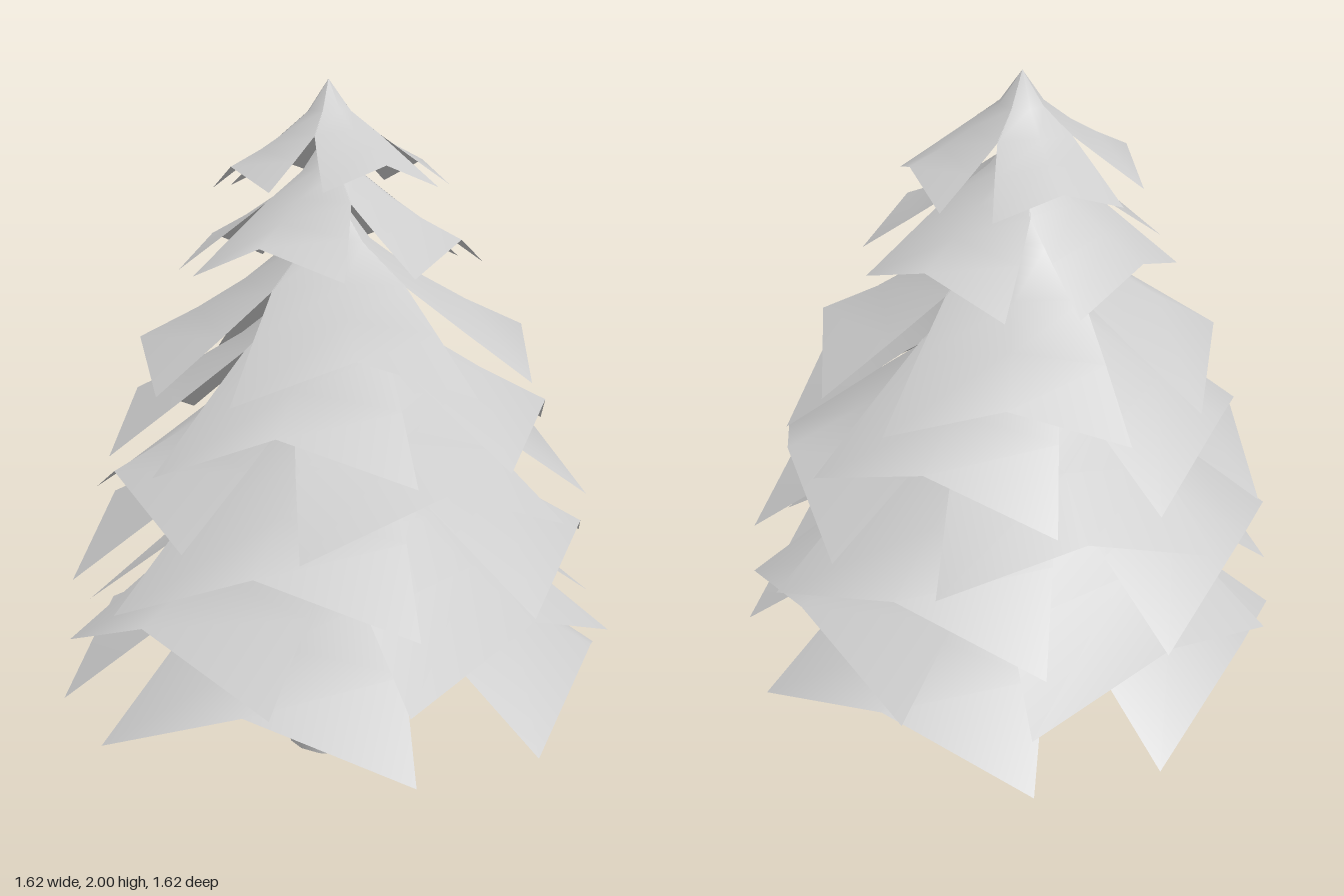
import * as THREE from 'three';

const material = new THREE.MeshStandardMaterial({ color: 0xcccccc, side: THREE.DoubleSide });

// Branch tiers, bottom to top: turn in degrees, height and reach of the middle of the lower edge
const TIERS = [
  [1, 0.38, 0.775], [-25, 0.555, 0.75], [3, 0.745, 0.735], [45, 0.935, 0.685],
  [6, 1.09, 0.625], [26, 1.28, 0.565], [-8, 1.555, 0.41], [-41, 1.765, 0.315],
];
// Rows of a bough from its tip outwards: share of reach, share of drop,
// then half width, depth and sag of the side edges
const ROWS = [
  [0, 0, 0, 0, 0], [0.2, 0.37, 0.73, 0.72, 0.01], [0.45, 0.62, 0.74, 0.73, 0.03],
  [0.7, 0.81, 0.64, 0.85, 0.1], [1, 1, 0.58, 0.92, 0.21],
];

// Fan-shaped sheet: a closed cone with its neighbours near the tip, with hanging outer corners
function boughGeometry(reach) {
  const geometry = new THREE.PlaneGeometry(1, 1, 2, ROWS.length - 1);
  const pos = geometry.attributes.position;
  for (let i = 0; i < pos.count; i++) {
    const side = (i % 3) - 1;
    const [out, fall, width, depth, sag] = ROWS[Math.floor(i / 3)];
    const drop = 0.75 * (1 - fall) - (side ? sag : 0);
    pos.setXYZ(i, side * width * reach * out, reach * drop, reach * out * (side ? depth : 1));
  }
  geometry.computeVertexNormals();
  return geometry;
}

// Short twig, thick for half its length and then pointed
function twig(from, to) {
  const a = new THREE.Vector3(...from);
  const dir = new THREE.Vector3(...to).sub(a);
  const length = dir.length();
  const profile = [[0.026, 0], [0.029, 0.35], [0.023, 0.6], [0.001, 1]];
  const points = profile.map(([r, t]) => new THREE.Vector2(r, t * length));
  const mesh = new THREE.Mesh(new THREE.LatheGeometry(points, 8), material);
  mesh.name = 'twig';
  mesh.position.copy(a);
  mesh.quaternion.setFromUnitVectors(new THREE.Vector3(0, 1, 0), dir.normalize());
  return mesh;
}

export function createModel() {
  const tree = new THREE.Group();
  tree.name = 'firTree';

  // Trunk, open at both ends
  const trunk = new THREE.Mesh(new THREE.CylinderGeometry(0.138, 0.147, 0.78, 14, 1, true), material);
  trunk.name = 'trunk';
  trunk.position.set(0, 0.39, -0.006);
  tree.add(trunk);

  // Twigs at the back and on the left of the trunk
  tree.add(twig([0.03, 0.275, -0.11], [-0.01, 0.257, -0.385]));
  tree.add(twig([0.1, 0.395, 0.05], [0.34, 0.405, 0.08]));

  // Foliage leans slightly to one side; four boughs per tier
  const foliage = new THREE.Group();
  foliage.name = 'foliage';
  foliage.position.set(0.015, 0, -0.012);
  foliage.rotation.z = 0.019;
  for (const [turn, height, reach] of TIERS) {
    const tier = new THREE.Group();
    tier.name = 'tier';
    tier.position.y = height;
    const geometry = boughGeometry(reach);
    for (let k = 0; k < 4; k++) {
      const bough = new THREE.Mesh(geometry, material);
      bough.name = 'bough';
      bough.rotation.y = THREE.MathUtils.degToRad(turn + 90 * k);
      tier.add(bough);
    }
    foliage.add(tier);
  }
  tree.add(foliage);
  return tree;
}
